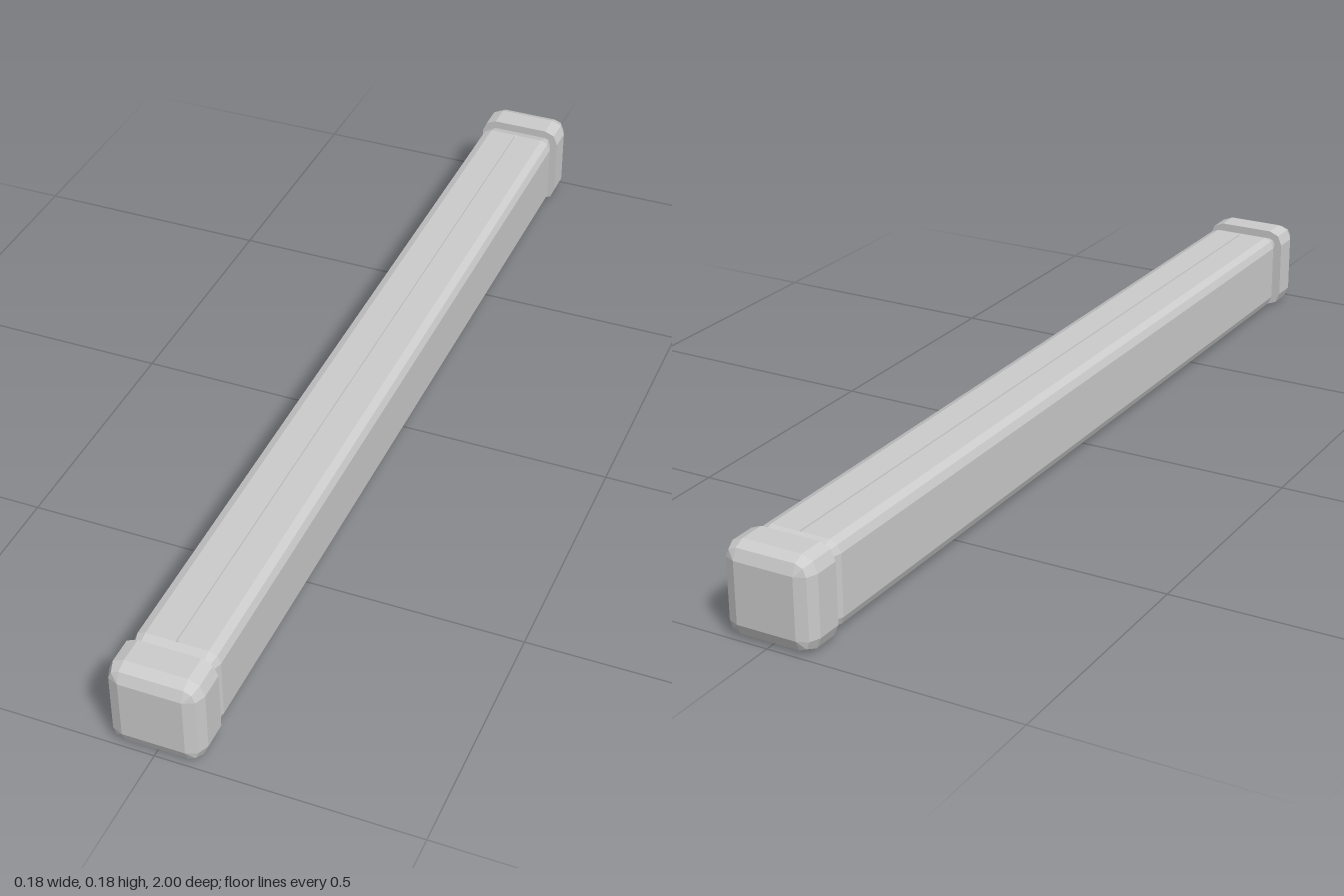
import * as THREE from 'three';

const CORE = 0.06; // half-size of the square that the rounded corners sit on

// Rounded-square outline with two facets per corner, and a seam groove top and bottom
function outline(core, radius, groove) {
  const pts = [];
  for (let side = 0; side < 4; side++) {
    const turn = side * Math.PI / 2;
    const c = Math.cos(turn), s = Math.sin(turn);
    const add = (x, y) => pts.push([x * c - y * s, x * s + y * c]);
    for (let k = 0; k <= 2; k++) {
      const a = k * Math.PI / 4;
      add(core + radius * Math.cos(a), core + radius * Math.sin(a));
    }
    if (side % 2 === 0) {
      const top = core + radius;
      add(0.0025, top);
      add(0.002, top - groove);
      add(-0.002, top - groove);
      add(-0.0025, top);
    }
  }
  return pts;
}

// Skin through sections [z, radius, groove depth, core], ordered by rising z, closed at both ends
function loft(sections) {
  const pos = [], idx = [];
  const rings = sections.map(([z, r, g = 0, core = CORE]) => outline(core, r, g).map(([x, y]) => [x, y, z]));
  const n = rings[0].length;
  rings.forEach(ring => ring.forEach(p => pos.push(...p)));
  for (let i = 0; i < rings.length - 1; i++) {
    for (let j = 0; j < n; j++) {
      const a = i * n + j, b = i * n + (j + 1) % n;
      idx.push(a, b, b + n, a, b + n, a + n);
    }
  }
  const first = pos.length / 3, last = first + 1, base = (rings.length - 1) * n;
  pos.push(0, 0, sections[0][0], 0, 0, sections[sections.length - 1][0]);
  for (let j = 0; j < n; j++) {
    const k = (j + 1) % n;
    idx.push(first, k, j, last, base + j, base + k);
  }
  const geo = new THREE.BufferGeometry();
  geo.setAttribute('position', new THREE.Float32BufferAttribute(pos, 3));
  geo.setIndex(idx);
  geo.computeVertexNormals();
  return geo;
}

export function createModel() {
  const group = new THREE.Group();
  const material = new THREE.MeshStandardMaterial({ color: 0xcccccc, flatShading: true });

  // Long bar with eased ends and a fine seam along the top and bottom
  const bar = new THREE.Mesh(loft([
    [-0.925, 0.01], [-0.912, 0.015], [-0.89, 0.022], [-0.885, 0.022, 0.003],
    [0.885, 0.022, 0.003], [0.89, 0.022], [0.912, 0.015], [0.925, 0.01],
  ]), material);
  bar.name = 'bar';
  bar.position.y = 0.09;
  group.add(bar);

  // Matching end caps: flat towards the bar, rounded on the outside
  const capGeometry = loft([[0.918, 0.03], [0.97, 0.03], [0.991, 0.0212], [1, 0.0001]]);
  for (const [name, turn] of [['frontCap', 0], ['backCap', Math.PI]]) {
    const cap = new THREE.Mesh(capGeometry, material);
    cap.name = name;
    cap.position.y = 0.09;
    cap.rotation.y = turn;
    group.add(cap);
  }
  return group;
}
